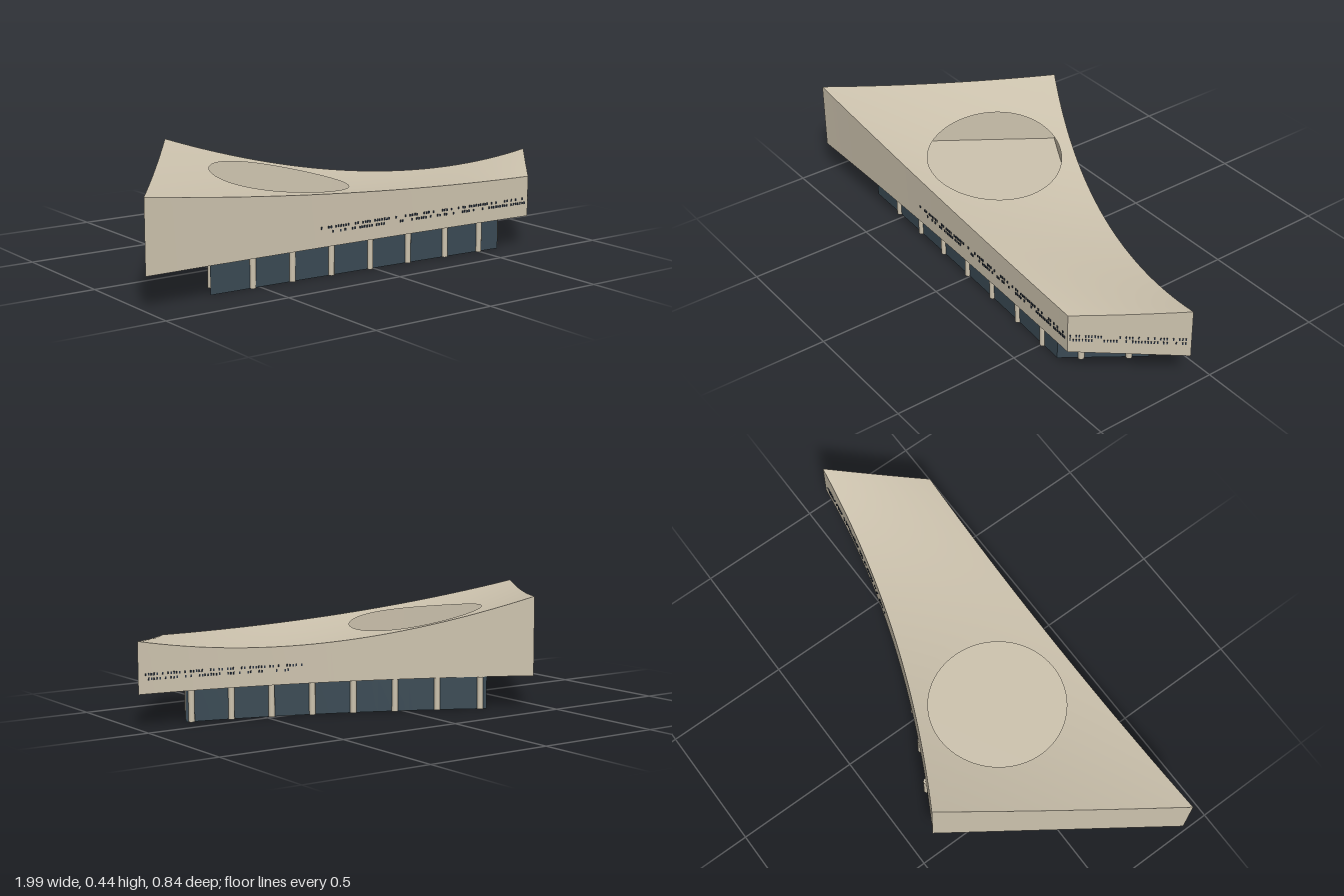
import * as THREE from 'three';
import { mergeGeometries } from 'three/addons/utils/BufferGeometryUtils.js';

const V = (x, y, z) => new THREE.Vector3(x, y, z);
const BASE = 0.125; // underside of the upper volume

// Curved edge: straight line plus a parabolic sag
const edge = (a, b, sag) => (t) => a.clone().lerp(b, t).addScaledVector(sag, 4 * t * (1 - t));

const sample = (curve, n) => Array.from({ length: n + 1 }, (_, i) => curve(i / n));

// Smooth surface through rows of points
function loft(rows) {
  const pos = [], idx = [], n = rows[0].length;
  rows.forEach((row) => row.forEach((p) => pos.push(p.x, p.y, p.z)));
  for (let r = 0; r < rows.length - 1; r++) {
    for (let i = 0; i < n - 1; i++) {
      const a = r * n + i, b = a + n;
      idx.push(a, a + 1, b, a + 1, b + 1, b);
    }
  }
  const g = new THREE.BufferGeometry();
  g.setAttribute('position', new THREE.Float32BufferAttribute(pos, 3));
  g.setIndex(idx);
  g.computeVertexNormals();
  return g;
}

const atHeight = (pts, y) => pts.map((p) => V(p.x, y, p.z));

// Flat horizontal plate bounded by a loop, facing down
function plate(pts, y) {
  const shape = new THREE.Shape(pts.map((p) => new THREE.Vector2(p.x, p.z)));
  return new THREE.ShapeGeometry(shape).rotateX(Math.PI / 2).translate(0, y, 0);
}

export function createModel() {
  const model = new THREE.Group();
  const material = (name, color, side = THREE.DoubleSide) => {
    const m = new THREE.MeshStandardMaterial({ color, side });
    m.name = name;
    return m;
  };
  const stone = material('pale stone', 0xcdc3ae);
  const glass = material('dark glass', 0x3a4a54);
  const wood = material('brown wood', 0x6e4c30);
  const dark = material('window dark', 0x2c3644, THREE.FrontSide);
  const add = (name, geometry, mat, parent = model) => {
    const mesh = new THREE.Mesh(geometry, mat);
    mesh.name = name;
    parent.add(mesh);
    return mesh;
  };

  // Upper volume: four corners joined by sagging roof edges
  const A = V(-1, 0.4, 0.37), B = V(0.71, 0.285, 0.42);
  const C = V(0.99, 0.32, 0.09), D = V(-0.45, 0.435, -0.42);
  const AB = edge(A, B, V(0, -0.028, -0.012));
  const DC = edge(D, C, V(0, -0.1, 0.08));
  const AD = edge(A, D, V(0, -0.012, 0));
  const BC = edge(B, C, V(0, -0.003, 0));

  // Roof patch blended from its four edges
  const roof = (u, v) => {
    const p = AB(u).lerp(DC(u), v).add(AD(v).lerp(BC(v), u));
    return p.sub(A.clone().lerp(B, u).lerp(D.clone().lerp(C, u), v));
  };
  // Find the patch coordinates above a plan position
  const locate = (x, z) => {
    let u = 0.4, v = 0.4;
    const h = 1e-4;
    for (let k = 0; k < 12; k++) {
      const p = roof(u, v);
      const du = roof(u + h, v).sub(p).divideScalar(h);
      const dv = roof(u, v + h).sub(p).divideScalar(h);
      const ex = x - p.x, ez = z - p.z, det = du.x * dv.z - dv.x * du.z;
      u += (ex * dv.z - dv.x * ez) / det;
      v += (du.x * ez - ex * du.z) / det;
    }
    return [u, v];
  };

  // Roof skin: rings running from the round opening to the outline
  const N = 32, outline = [];
  for (let s = 0; s < 4; s++) {
    for (let i = 0; i < N; i++) {
      const t = i / N;
      outline.push([[t, 0], [1, t], [1 - t, 1], [0, 1 - t]][s]);
    }
  }
  outline.push([0, 0]);
  const centre = V(-0.23, 0, 0.05), radius = 0.265;
  // Rim points follow the outline evenly from the direction of corner A
  const start = Math.atan2(A.z - centre.z, A.x - centre.x);
  const cornerAngles = [A, B, C, D].map((p) => {
    const a = Math.atan2(p.z - centre.z, p.x - centre.x);
    return (start - a + 4 * Math.PI) % (2 * Math.PI);
  }).concat(2 * Math.PI);
  const rim = outline.map((_, i) => {
    const s = Math.min(3, Math.floor(i / N));
    const a = start - THREE.MathUtils.lerp(cornerAngles[s], cornerAngles[s + 1], i / N - s);
    return locate(centre.x + radius * Math.cos(a), centre.z + radius * Math.sin(a));
  });
  const rings = [];
  for (let r = 0; r <= 16; r++) {
    rings.push(outline.map(([u, v], i) => roof(
      THREE.MathUtils.lerp(u, rim[i][0], r / 16),
      THREE.MathUtils.lerp(v, rim[i][1], r / 16))));
  }
  add('roof', loft(rings), stone);

  // Outer walls and floor slab of the hollow upper volume
  const walls = [['frontWall', AB], ['leftWall', BC],
    ['backWall', (t) => DC(1 - t)], ['rightWall', (t) => AD(1 - t)]];
  const loop = [];
  walls.forEach(([name, curve]) => {
    const top = sample(curve, N);
    add(name, loft([atHeight(top, BASE), top]), stone);
    loop.push(...top.slice(0, -1));
  });
  add('floorSlab', plate(loop, BASE), stone);

  // Two rows of tiny window slots
  let seed = 7;
  const random = () => (seed = (seed * 16807) % 2147483647) / 2147483647;
  const slots = [];
  const slotRow = (curve, from, to, y) => {
    const steps = Math.round(curve(from).distanceTo(curve(to)) / 0.011);
    for (let i = 0; i <= steps; i++) {
      if (random() < 0.4) continue;
      const t = THREE.MathUtils.lerp(from, to, i / steps);
      const p = curve(t), q = curve(t + 0.01);
      slots.push(new THREE.BoxGeometry(0.005, 0.009, 0.006)
        .rotateY(-Math.atan2(q.z - p.z, q.x - p.x))
        .translate(p.x, y, p.z));
    }
  };
  [[0.197, 0.42, 0.56], [0.18, 0.45, 0.61]].forEach(([y, a, c]) => {
    slotRow(AB, a, 0.99, y);
    slotRow(BC, 0.02, 0.98, y);
    slotRow(DC, c, 0.98, y);
  });
  add('windowSlots', mergeGeometries(slots), dark);

  // Recessed glazed ground storey, open below
  const a = V(-0.705, 0, 0.31), b = V(0.595, 0, 0.375);
  const c = V(0.79, 0, 0.105), d = V(-0.29, 0, -0.33);
  const none = V(0, 0, 0);
  const sides = [
    ['frontGlass', edge(a, b, V(0, 0, -0.006)), [0.135, 0.265, 0.396, 0.531, 0.665, 0.8, 0.927]],
    ['leftGlass', edge(b, c, none), [0.26, 0.78]],
    ['backGlass', edge(c, d, V(0, 0, 0.045)), [0, 1, 2, 3, 4, 5, 6, 7].map((i) => 0.02 + i * 0.137)],
    ['rightGlass', edge(d, a, none), [0.2, 0.42, 0.64, 0.86]],
  ];
  const storey = [], columns = new THREE.Group();
  columns.name = 'columns';
  const columnShape = new THREE.CylinderGeometry(0.012, 0.012, BASE, 12);
  sides.forEach(([name, curve, stops]) => {
    const foot = sample(curve, 20);
    add(name, loft([foot, atHeight(foot, BASE)]), glass);
    storey.push(...foot.slice(0, -1));
    stops.forEach((t) => {
      const p = curve(t);
      add('column', columnShape, stone, columns).position.set(p.x, BASE / 2, p.z);
    });
  });
  model.add(columns);
  add('ceiling', plate(storey, BASE - 0.004), wood);

  return model;
}
